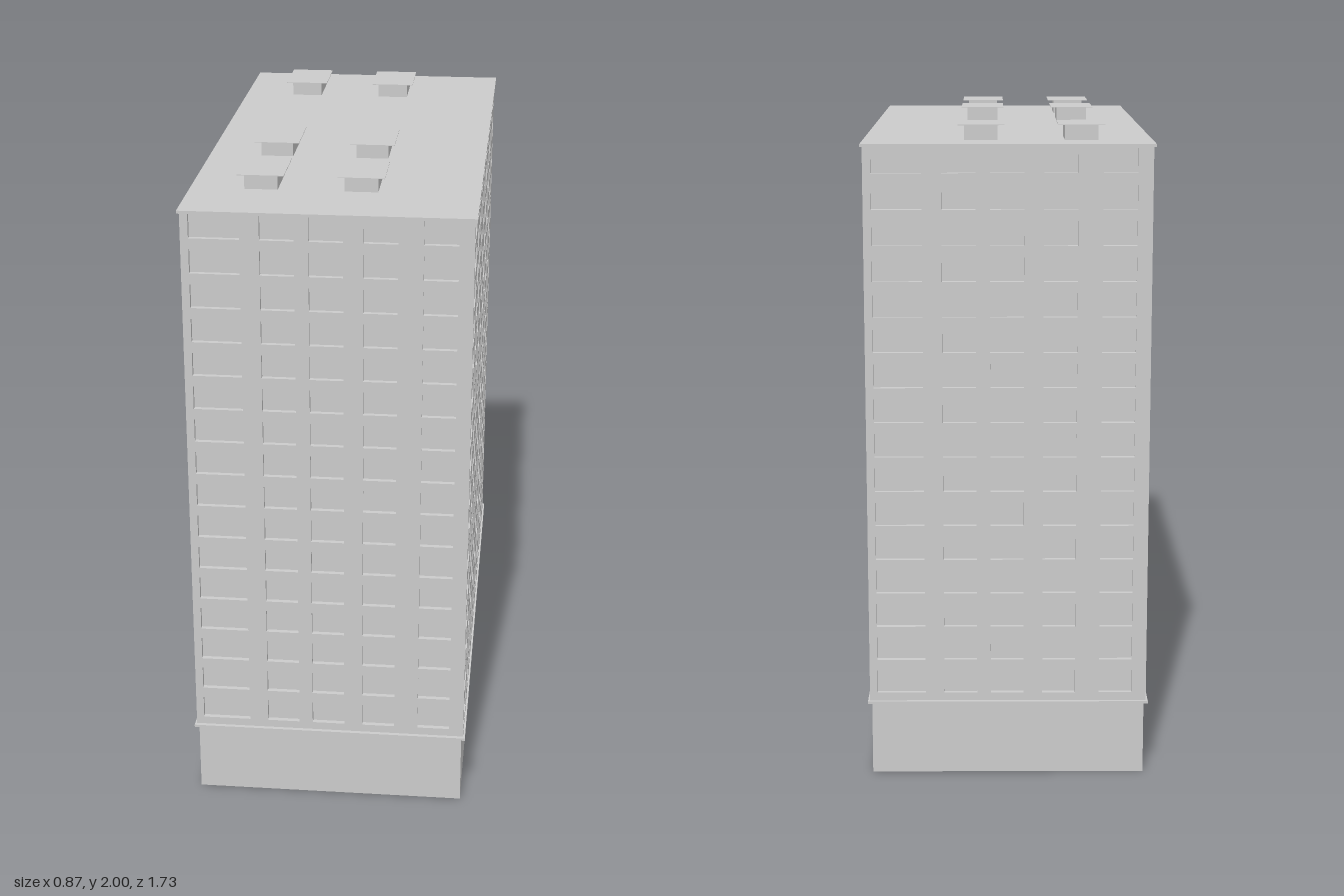
import * as THREE from 'three';

const material = new THREE.MeshStandardMaterial({ color: 0xcccccc });

// Tower half sizes, heights and window recess
const HX = 0.427, HZ = 0.853, DEPTH = 0.015;
const BASE_TOP = 0.23, WALL_BOTTOM = 0.237, WALL_TOP = 1.947;
const ROWS = 16, ROW_STEP = 0.107, FIRST_SILL = 0.263, WINDOW_H = 0.073;

// One bay of windows: [left edge, width], seen from outside
const BAY = [[-0.403, 0.149], [-0.196, 0.101], [-0.053, 0.101], [0.106, 0.101], [0.281, 0.101]];

function box(name, w, h, d, x, y, z) {
  const mesh = new THREE.Mesh(new THREE.BoxGeometry(w, h, d), material);
  mesh.name = name;
  mesh.position.set(x, y + h / 2, z);
  return mesh;
}

function rectangle(path, x, y, w, h) {
  path.moveTo(x, y);
  path.lineTo(x + w, y);
  path.lineTo(x + w, y + h);
  path.lineTo(x, y + h);
  path.closePath();
  return path;
}

// Wall panel pierced by rows of windows, repeated for each bay
function wallGeometry(halfWidth, bayOffsets) {
  const shape = rectangle(new THREE.Shape(), -halfWidth, WALL_BOTTOM, halfWidth * 2, WALL_TOP - WALL_BOTTOM);
  for (let row = 0; row < ROWS; row++) {
    for (const offset of bayOffsets) {
      for (const [left, width] of BAY) {
        shape.holes.push(rectangle(new THREE.Path(), left + offset, FIRST_SILL + row * ROW_STEP, width, WINDOW_H));
      }
    }
  }
  return new THREE.ExtrudeGeometry(shape, { depth: DEPTH, bevelEnabled: false });
}

export function createModel() {
  const model = new THREE.Group();
  model.name = 'apartmentTower';

  // Plain ground storey, ledge, window panes (core) and roof slab
  model.add(box('groundStorey', 0.842, BASE_TOP, 1.692, 0, 0, 0));
  model.add(box('lowerLedge', 0.866, 0.008, 1.73, 0, BASE_TOP, 0));
  model.add(box('windowCore', (HX - DEPTH) * 2, WALL_TOP - WALL_BOTTOM, (HZ - DEPTH) * 2, 0, WALL_BOTTOM, 0));
  model.add(box('roofSlab', 0.866, 0.009, 1.73, 0, 1.945, 0));

  // Opposite walls share a panel, turned half way round
  const endWall = wallGeometry(HX, [0]);
  const sideWall = wallGeometry(HZ - DEPTH, [-0.425, 0.431]);
  const walls = [
    ['frontWall', endWall, HZ, 0], ['leftWall', sideWall, HX, Math.PI / 2],
    ['backWall', endWall, HZ, Math.PI], ['rightWall', sideWall, HX, -Math.PI / 2],
  ];
  for (const [name, geometry, distance, angle] of walls) {
    const wall = new THREE.Mesh(geometry, material);
    wall.name = name;
    wall.rotation.y = angle;
    wall.position.set(Math.sin(angle), 0, Math.cos(angle)).multiplyScalar(distance - DEPTH);
    model.add(wall);
  }

  // Roof vents with thin overhanging lids
  for (const x of [-0.22, 0.08]) {
    for (const z of [-0.63, 0.17, 0.54]) {
      const vent = new THREE.Group();
      vent.name = 'roofVent';
      vent.add(box('ventBody', 0.1, 0.046, 0.175, x, 1.952, z));
      vent.add(box('ventLid', 0.14, 0.002, 0.197, x, 1.998, z));
      model.add(vent);
    }
  }
  return model;
}
